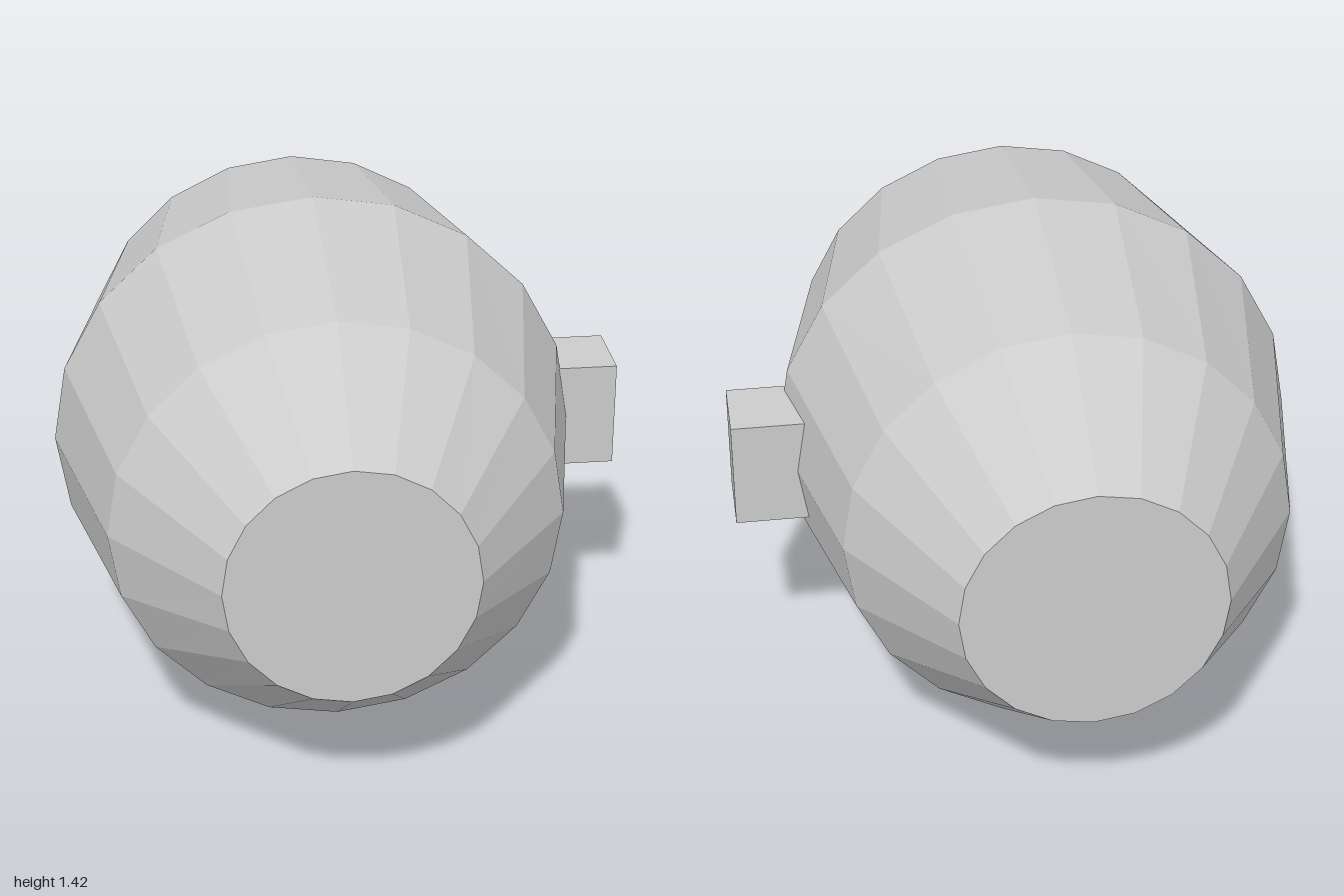
import * as THREE from 'three';

export function createModel() {
  const group = new THREE.Group();
  const material = new THREE.MeshStandardMaterial({ color: 0xcccccc, flatShading: true });

  // Barrel rings from back to front: [z, half width, half height]
  const rings = [
    [-1, 0, 0],
    [-1, 0.36, 0.355],
    [-0.6, 0.62, 0.61],
    [0.02, 0.75, 0.71],
    [0.64, 0.62, 0.595],
    [1, 0.34, 0.34],
    [1, 0, 0],
  ];

  // Turned profile laid along z, then squashed ring by ring into ellipses
  const barrelGeometry = new THREE.LatheGeometry(
    rings.map(([z, halfWidth]) => new THREE.Vector2(halfWidth, z)), 20);
  barrelGeometry.rotateX(Math.PI / 2);
  const position = barrelGeometry.attributes.position;
  for (let i = 0; i < position.count; i++) {
    const [, halfWidth, halfHeight] = rings[i % rings.length];
    if (halfWidth > 0) position.setY(i, position.getY(i) * halfHeight / halfWidth);
  }
  barrelGeometry.computeVertexNormals();
  const barrel = new THREE.Mesh(barrelGeometry, material);
  barrel.name = 'barrel';
  barrel.position.set(-0.07, 0.715, 0);
  group.add(barrel);

  // Square plug sunk into the left side
  const plug = new THREE.Mesh(new THREE.BoxGeometry(0.23, 0.31, 0.225), material);
  plug.name = 'sidePlug';
  plug.position.set(0.705, 0.715, -0.068);
  group.add(plug);

  return group;
}
